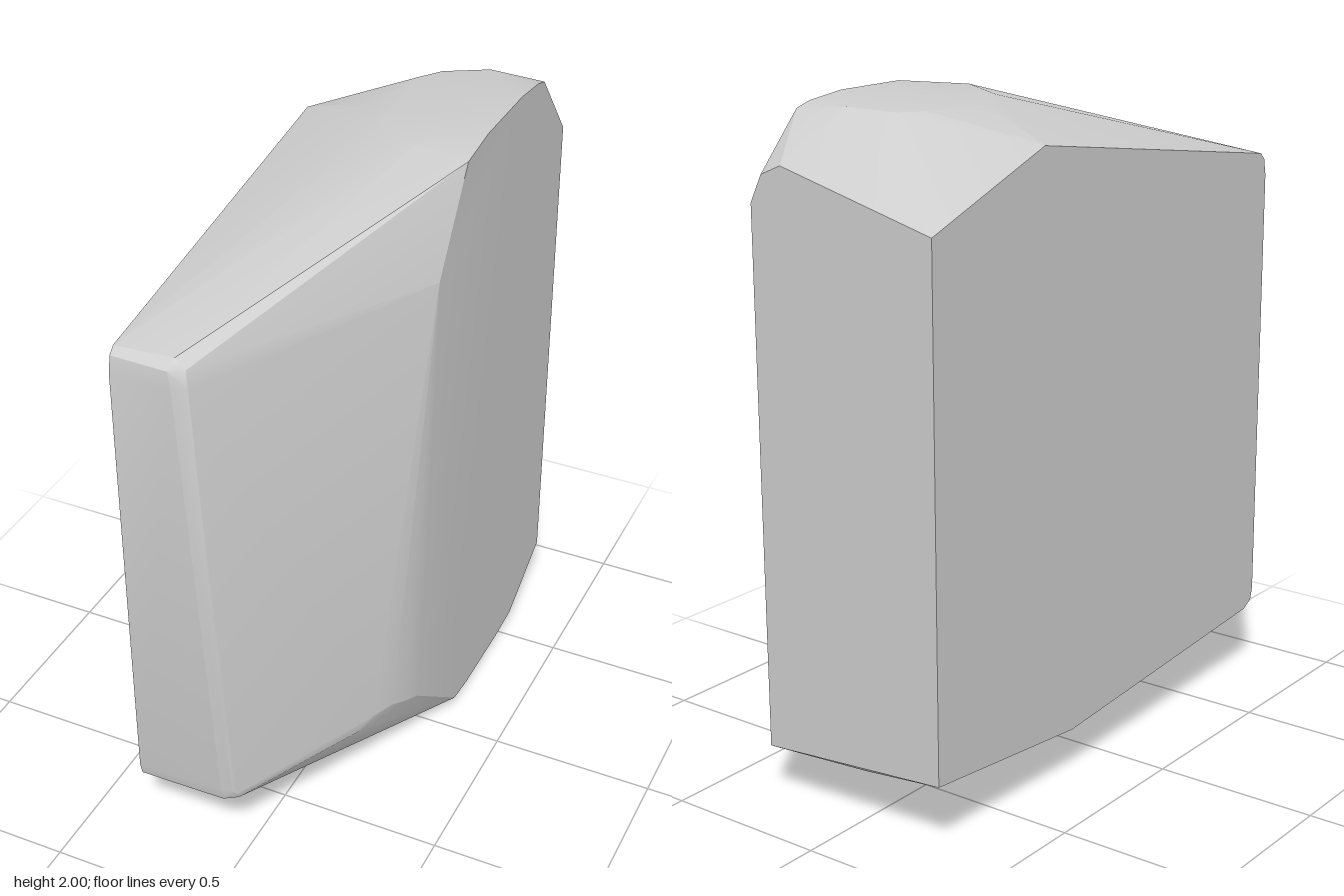
import * as THREE from 'three';
import { ConvexGeometry } from 'three/addons/geometries/ConvexGeometry.js';
import { toCreasedNormals } from 'three/addons/utils/BufferGeometryUtils.js';

// Turns an outline of [z, y] pairs lying on a plane of constant x into points
const atX = (x, outline) => outline.map(([z, y]) => new THREE.Vector3(x, y, z));
const points = (list) => list.map((p) => new THREE.Vector3(...p));

export function createModel() {
  const group = new THREE.Group();

  // Flat wall on the narrow -x side
  const innerWall = atX(-0.31, [
    [-0.82, 0.21], [-0.82, 1.72], [-0.34, 1.89], [0.79, 1.72],
    [0.81, 1.70], [0.82, 1.65], [0.82, 0.28], [0.81, 0.24], [0.77, 0.22], [-0.2, 0.15],
  ]);

  // Flat wall on the broad +x side, with bowed top and bottom edges
  const outerWall = atX(0.31, [
    [-0.82, 0.16], [-0.82, 1.74], [-0.63, 1.97], [-0.58, 1.985], [-0.45, 2], [-0.2, 2],
    [-0.06, 1.98], [0.12, 1.7], [0.21, 0.29], [-0.1, 0.03], [-0.2, 0.02], [-0.45, 0.02], [-0.58, 0.03],
  ]);

  // Domed top and chamfered rear corner
  const crown = points([
    [-0.08, 1.97, -0.29], [-0.03, 1.975, -0.49], [0, 1.98, -0.15], [0.02, 1.975, -0.56],
    [0.15, 1.985, -0.61], [0.15, 1.99, -0.08], [0.27, 1.82, -0.82], [0.2, 1.85, -0.82],
  ]);

  // Shallow keel below
  const keel = points([
    [0.07, 0.01, -0.16], [0.13, 0, -0.2], [0.13, 0, -0.42], [0.07, 0.01, -0.45],
    [0.18, 0.015, -0.56], [0.2, 0.015, -0.12],
  ]);

  // Narrow nose with rounded rim
  const nose = points([
    [-0.13, 1.73, 0.79], [-0.14, 1.70, 0.815], [-0.13, 1.65, 0.82], [-0.1, 1.70, 0.79],
    [-0.09, 1.65, 0.8], [-0.08, 1.64, 0.77],
    [-0.04, 0.29, 0.82], [-0.04, 0.245, 0.81], [-0.01, 0.29, 0.81], [0, 0.27, 0.8], [0, 0.25, 0.79],
  ]);

  // Rounded lower shoulder between the nose and the broad wall
  const shoulder = points([[0.3, 0.31, 0.26], [0.28, 0.34, 0.33], [0.25, 0.34, 0.4], [0.22, 0.3, 0.44]]);

  const hull = new ConvexGeometry([
    ...innerWall, ...outerWall, ...crown, ...keel, ...nose, ...shoulder,
  ]);
  const block = new THREE.Mesh(
    toCreasedNormals(hull, 0.3),
    new THREE.MeshStandardMaterial({ color: 0xcccccc }),
  );
  block.name = 'facetedBlock';
  group.add(block);
  return group;
}
